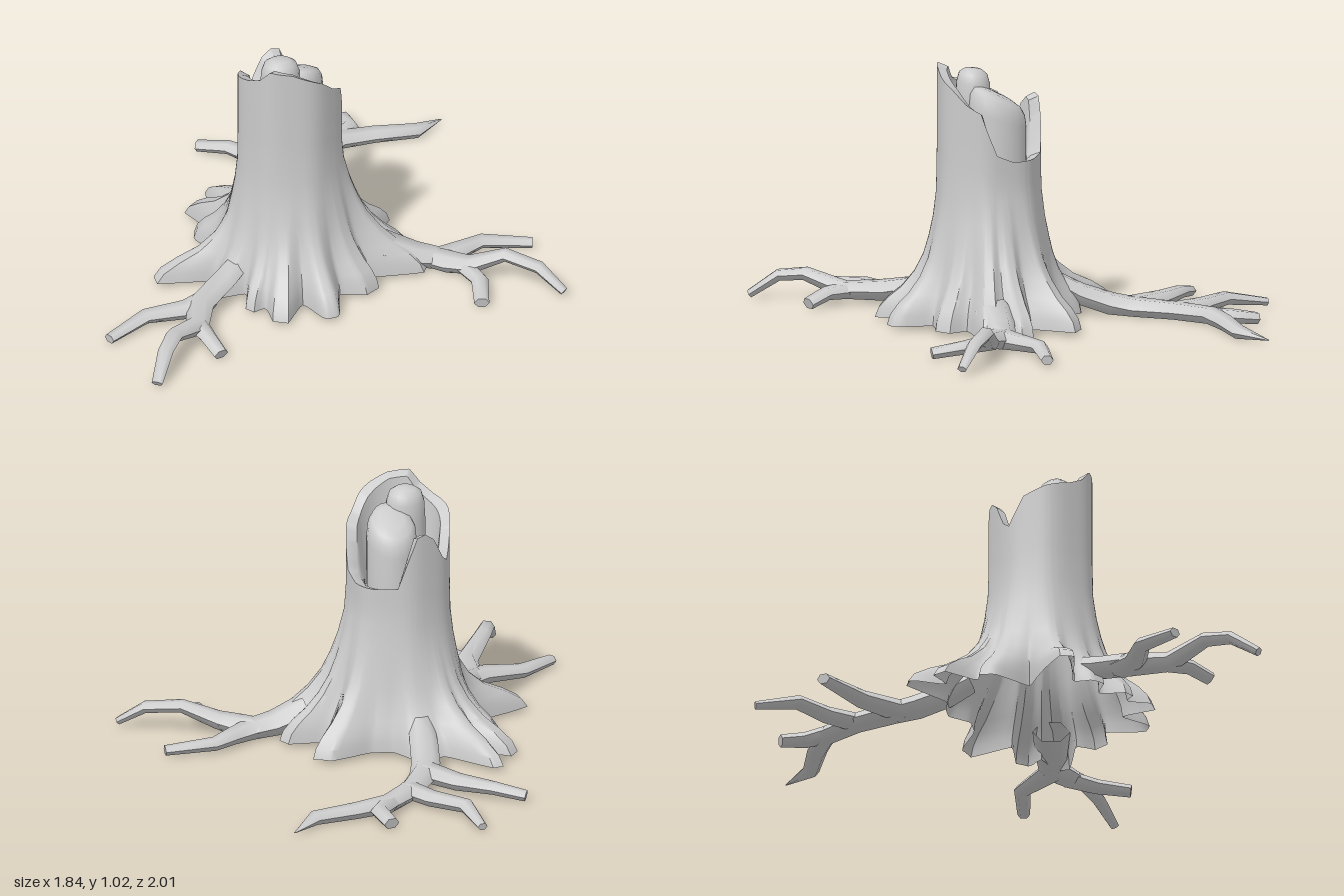
import * as THREE from 'three';
import { toCreasedNormals } from 'three/addons/utils/BufferGeometryUtils.js';

const CX = -0.165, CZ = 0.13; // trunk axis
const DEG = Math.PI / 180;

// Footprint of the flared base: [angle, radius], toes alternate with valleys
const FOOT = [
  [-42, 0.46], [-34, 0.49], [-20, 0.34], [-12, 0.48], [-5, 0.5], [0, 0.43], [6, 0.54], [12, 0.53], [24, 0.34],
  [32, 0.4], [42, 0.39], [54, 0.31], [67, 0.44], [75, 0.44], [84, 0.32], [94, 0.45], [102, 0.44], [109, 0.35],
  [114, 0.39], [120, 0.38], [129, 0.29], [138, 0.37], [147, 0.37], [157, 0.32], [166, 0.54], [172, 0.54],
  [190, 0.26], [207, 0.41], [214, 0.43], [219, 0.39], [224, 0.54], [230, 0.55], [234, 0.46], [239, 0.61],
  [244, 0.59], [255, 0.38], [265, 0.37], [275, 0.36], [288, 0.29], [302, 0.31],
];
// Broken rim: [angle, height]
const RIM = [
  [0, 0.7], [10, 0.79], [18, 0.87], [35, 0.9], [55, 0.96], [71, 0.99], [90, 1.02], [115, 1.03], [128, 0.98],
  [145, 0.95], [175, 0.92], [200, 0.88], [218, 0.76], [226, 0.78], [240, 0.87], [252, 0.9], [262, 0.89],
  [272, 0.8], [284, 0.68], [310, 0.67], [340, 0.67],
];
// Flare by height: [y, share of the broad flare, share of the toe detail]
const FLARE = [
  [0.02, 1, 1], [0.06, 0.95, 0.95], [0.1, 0.83, 0.82], [0.14, 0.66, 0.62], [0.2, 0.47, 0.42],
  [0.27, 0.32, 0.24], [0.34, 0.22, 0.13], [0.42, 0.12, 0.06], [0.52, 0.03, 0.01],
];

// Interpolation round a full turn; a power above 1 hollows the valleys
function around(table, deg, power = 1) {
  const first = table[0][0];
  const a = first + ((((deg - first) % 360) + 360) % 360);
  const i = table.findLastIndex((entry) => entry[0] <= a);
  const [a0, v0] = table[i];
  const [a1, v1] = table[i + 1] ?? [first + 360, table[0][1]];
  const u = (a - a0) / (a1 - a0);
  return v0 < v1 ? v0 + (v1 - v0) * u ** power : v1 + (v0 - v1) * (1 - u) ** power;
}

// Skin a list of closed rings
function skin(rows, crease) {
  const n = rows[0].length, pos = [], index = [];
  rows.forEach((row) => row.forEach((p) => pos.push(p.x, p.y, p.z)));
  for (let i = 0; i < rows.length - 1; i++) {
    for (let j = 0; j < n; j++) {
      const a = i * n + j, b = i * n + ((j + 1) % n);
      index.push(a, b, a + n, b, b + n, a + n);
    }
  }
  const geo = new THREE.BufferGeometry();
  geo.setAttribute('position', new THREE.Float32BufferAttribute(pos, 3));
  geo.setIndex(index);
  return toCreasedNormals(geo, crease);
}

function trunkGeometry() {
  const N = 180, rows = [];
  const angles = Array.from({ length: N }, (_, j) => (-j * 360) / N);
  const foot = angles.map((a) => around(FOOT, a, 1.5));
  const broad = angles.map((a) => {
    let sum = 0;
    for (let d = -30; d <= 30; d += 5) sum += around(FOOT, a + d, 1.5);
    return sum / 13;
  });
  const ring = (radius, height) => rows.push(angles.map((a, j) => {
    const r = radius(a, j);
    return new THREE.Vector3(CX + r * Math.cos(a * DEG), height(a), CZ + r * Math.sin(a * DEG));
  }));
  const bark = (a) => 0.205 + 0.003 * Math.sin(7 * a * DEG);
  const rim = (a) => around(RIM, a);

  // outside, from the ground to the straight part; toes stay highest on the left
  for (const [y, wide, toe] of FLARE) {
    ring((a, j) => {
      const side = 1 - Math.cos(a * DEG);
      return bark(a) + (broad[j] - 0.2) * wide ** (1 + 0.12 * side) + (foot[j] - broad[j]) * toe ** (1 + 0.6 * side);
    }, () => y);
  }
  // up to the broken rim, over it and down the hollow
  for (const t of [0.35, 0.7, 1]) ring(bark, (a) => 0.52 + (rim(a) - 0.52) * t);
  ring(() => 0.165, (a) => rim(a) - 0.015);
  ring(() => 0.15, (a) => 0.62 + (rim(a) - 0.62) * 0.5);
  ring(() => 0.13, () => 0.62);
  ring(() => 0, () => 0.61);
  return skin(rows, 0.9);
}

// Tapering root through [x, y, z, radius] points, with a flat end
function rootGeometry(points, sides = 6) {
  const c = points.map((p) => new THREE.Vector3(p[0], p[1], p[2]));
  const up = new THREE.Vector3(0, 1, 0);
  const rows = c.map((p, i) => {
    const t = c[Math.min(i + 1, c.length - 1)].clone().sub(c[Math.max(i - 1, 0)]).normalize();
    const n = new THREE.Vector3().crossVectors(up, t).normalize();
    const b = new THREE.Vector3().crossVectors(t, n);
    return Array.from({ length: sides }, (_, k) => {
      const a = (k / sides) * Math.PI * 2, r = points[i][3];
      const v = p.clone().addScaledVector(n, 1.25 * r * Math.cos(a)).addScaledVector(b, r * Math.sin(a));
      v.y = Math.max(v.y, 0.005);
      return v;
    });
  });
  const end = c[c.length - 1];
  rows.push(rows[0].map(() => end.clone()));
  return skin(rows, 1.1);
}

// Heartwood stump with a rounded top that slopes along z
function heartwoodGeometry(x, z, rx, rz, top, slope) {
  const rings = [[1, 0], [1, 0.7], [0.95, 0.86], [0.8, 0.95], [0.5, 0.99], [0, 1]];
  return skin(rings.map(([r, h]) => Array.from({ length: 20 }, (_, k) => {
    const a = (-k / 20) * Math.PI * 2, dz = r * rz * Math.sin(a);
    return new THREE.Vector3(x + r * rx * Math.cos(a), 0.6 + (top + slope * dz - 0.6) * h, z + dz);
  })), 1.1);
}

const ROOTS = {
  leftRoot: [
    [[0.2, 0.11, 0.17, 0.06], [0.33, 0.06, 0.17, 0.05], [0.43, 0.042, 0.17, 0.042],
      [0.52, 0.042, 0.11, 0.033], [0.6, 0.04, 0.055, 0.027], [0.8, 0.028, 0.06, 0.02]],
    [[0.38, 0.045, 0.16, 0.04], [0.46, 0.048, 0.21, 0.042], [0.54, 0.06, 0.255, 0.036], [0.68, 0.12, 0.285, 0.026],
      [0.81, 0.1, 0.355, 0.024], [0.905, 0.025, 0.42, 0.016]],
    [[0.51, 0.05, 0.23, 0.033], [0.575, 0.045, 0.35, 0.028], [0.575, 0.025, 0.485, 0.024]],
  ],
  backRoot: [
    [[-0.19, 0.14, -0.15, 0.04], [-0.18, 0.09, -0.24, 0.045], [-0.16, 0.05, -0.36, 0.046], [-0.13, 0.035, -0.45, 0.046],
      [-0.04, 0.035, -0.6, 0.04], [0.08, 0.038, -0.72, 0.036], [0.22, 0.035, -0.755, 0.032],
      [0.39, 0.03, -0.78, 0.028], [0.495, 0.015, -0.88, 0.002]],
    [[-0.14, 0.04, -0.42, 0.042], [-0.24, 0.048, -0.58, 0.034], [-0.36, 0.048, -0.675, 0.026], [-0.48, 0.025, -0.73, 0.022]],
    [[-0.03, 0.038, -0.58, 0.036], [-0.1, 0.045, -0.72, 0.032], [-0.215, 0.045, -0.83, 0.028], [-0.24, 0.02, -1, 0.016]],
    [[0.06, 0.038, -0.7, 0.034], [0.13, 0.042, -0.8, 0.03], [0.105, 0.025, -0.9, 0.026]],
  ],
  frontRoot: [
    [[-0.38, 0.12, 0.29, 0.04], [-0.44, 0.09, 0.36, 0.044], [-0.54, 0.058, 0.48, 0.045], [-0.56, 0.06, 0.64, 0.038],
      [-0.66, 0.11, 0.78, 0.028], [-0.7, 0.1, 0.88, 0.025], [-0.74, 0.02, 0.99, 0.018]],
    [[-0.5, 0.06, 0.44, 0.042], [-0.6, 0.052, 0.505, 0.036], [-0.76, 0.042, 0.53, 0.028], [-0.91, 0.025, 0.66, 0.02]],
    [[-0.56, 0.058, 0.62, 0.036], [-0.52, 0.055, 0.72, 0.028], [-0.475, 0.025, 0.8, 0.025]],
  ],
};

export function createModel() {
  const group = new THREE.Group();
  const material = new THREE.MeshStandardMaterial({ color: 0xcccccc, side: THREE.DoubleSide });
  const add = (name, geo, parent = group) => {
    const mesh = new THREE.Mesh(geo, material);
    mesh.name = name;
    parent.add(mesh);
  };

  add('trunk', trunkGeometry());
  add('tallHeartwood', heartwoodGeometry(-0.205, 0.185, 0.08, 0.07, 1.01, 0.1));
  add('shortHeartwood', heartwoodGeometry(-0.13, 0.1, 0.1, 0.115, 0.92, 0.5));

  // Spreading roots
  for (const [name, branches] of Object.entries(ROOTS)) {
    const root = new THREE.Group();
    root.name = name;
    branches.forEach((pts, i) => add(i ? `${name}Branch${i}` : `${name}Main`, rootGeometry(pts), root));
    group.add(root);
  }
  return group;
}
